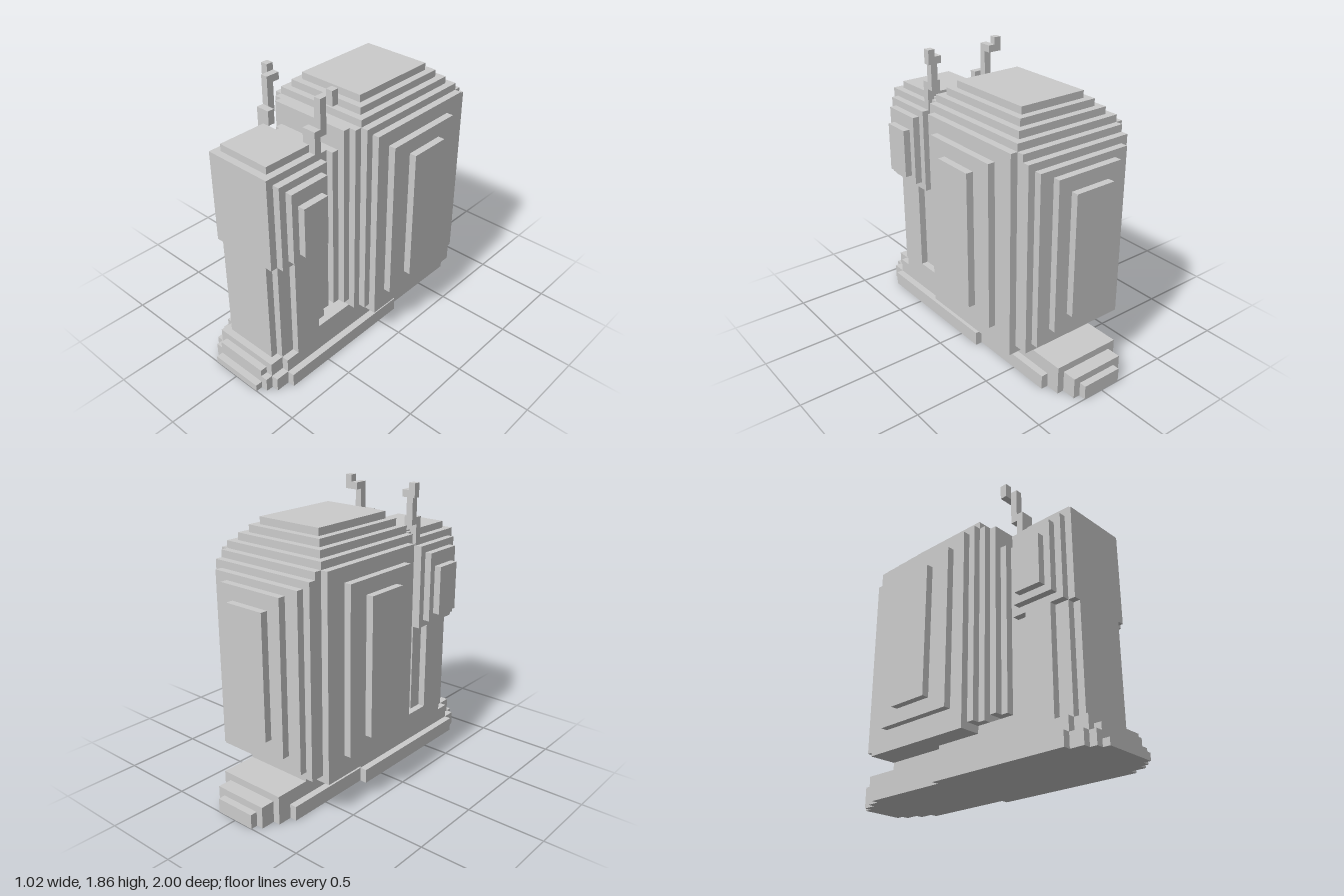
import * as THREE from 'three';

const U = 2 / 43; // edge length of one cube; depth is counted from the back, 0..43

// Collects cubes per part, so that faces between touching cubes can be left out
const cells = new Map();

function box(part, x0, x1, y0, y1, z0, z1) {
  for (let x = x0; x < x1; x++)
    for (let y = y0; y < y1; y++)
      for (let z = z0; z < z1; z++) {
        const key = `${x},${y},${z}`;
        if (!cells.has(key)) cells.set(key, { part, pos: [x, y, z] });
      }
}

// Box centred on x = 0, given its half width
const slab = (part, half, y0, y1, z0, z1) => box(part, -half, half, y0, y1, z0, z1);

// Stepped rounded block: layers [y0, y1, half, zBack, zFront] cut by plan steps [half, zBack, zFront]
function steppedBlock(part, layers, plan) {
  for (const [y0, y1, half, zb, zf] of layers)
    for (const [w, pb, pf] of plan)
      slab(part, Math.min(half, w), y0, y1, Math.max(zb, pb), Math.min(zf, pf));
}

// Exposed cube faces of one part
function partMesh(part, material) {
  const positions = [];
  for (const cell of cells.values()) {
    if (cell.part !== part) continue;
    for (let a = 0; a < 3; a++)
      for (const s of [1, -1]) {
        const next = [...cell.pos];
        next[a] += s;
        if (cells.has(next.join(','))) continue;
        const corner = (du, dv) => {
          const p = [...cell.pos];
          if (s > 0) p[a] += 1;
          p[(a + 1) % 3] += du;
          p[(a + 2) % 3] += dv;
          return [p[0] * U, p[1] * U, (p[2] - 21.5) * U];
        };
        const q = [corner(0, 0), corner(1, 0), corner(1, 1), corner(0, 1)];
        if (s < 0) q.reverse();
        for (const i of [0, 1, 2, 0, 2, 3]) positions.push(...q[i]);
      }
  }
  const geometry = new THREE.BufferGeometry();
  geometry.setAttribute('position', new THREE.Float32BufferAttribute(positions, 3));
  geometry.computeVertexNormals();
  const mesh = new THREE.Mesh(geometry, material);
  mesh.name = part;
  return mesh;
}

export function createModel() {
  cells.clear();

  // Shell: tall block with stepped edges and raised panels
  steppedBlock('shell', [
    [5, 6, 9, 8, 25], [6, 7, 9, 6, 27], [7, 8, 9, 5, 29], [8, 9, 10, 5, 29],
    [9, 10, 10, 4, 29], [10, 11, 11, 4, 29], [11, 28, 11, 3, 29], [28, 29, 11, 4, 29],
    [29, 30, 10, 4, 29], [30, 31, 10, 5, 29], [31, 32, 9, 6, 28], [32, 33, 9, 7, 28],
    [33, 34, 8, 8, 28], [34, 35, 7, 9, 26], [35, 36, 6, 10, 25], [36, 37, 5, 11, 24],
  ], [
    [11, 14, 20], [10, 11, 23], [9, 8, 25], [8, 6, 26],
    [7, 5, 27], [6, 5, 28], [5, 4, 29], [3, 3, 29],
  ]);

  // Head with cheek panels, widest in the middle
  steppedBlock('head', [
    [19, 20, 6, 31, 40], [20, 21, 7, 31, 40], [21, 28, 8, 31, 40], [28, 30, 7, 31, 40],
    [30, 31, 6, 31, 40], [31, 32, 5, 31, 40], [32, 33, 4, 32, 39],
  ], [[8, 33, 37], [7, 32, 38], [6, 31, 39], [5, 31, 40]]);
  slab('head', 3, 31, 32, 30, 31);

  // Neck: upright column, joined to the shell at the back
  for (const [half, zb, zf] of [[6, 33, 37], [5, 31, 39], [4, 29, 40]])
    slab('neck', half, 4, 19, zb, zf);
  slab('neck', 4, 19, 31, 29, 31);

  // Foot: sole, upper step, raised back, then tapered toe and tail
  slab('foot', 7, 0, 2, 18, 39);
  slab('foot', 6, 0, 2, 5, 41);
  slab('foot', 6, 2, 4, 18, 39);
  slab('foot', 5, 2, 4, 3, 41);
  slab('foot', 5, 4, 5, 8, 39);
  slab('foot', 6, 4, 6, 18, 33);
  slab('foot', 5, 0, 2, 3, 42);
  slab('foot', 4, 0, 3, 1, 42);
  slab('foot', 4, 0, 1, 42, 43);
  slab('foot', 3, 0, 2, 0, 1);

  // Feelers: base, post and outward tip, mirrored
  const feelerBoxes = [
    [3, 5, 33, 35, 31, 32], [4, 5, 31, 33, 31, 32], [4, 5, 34, 39, 30, 31],
    [4, 5, 38, 39, 29, 30], [5, 6, 38, 40, 29, 30],
  ];
  for (const [x0, x1, ...rest] of feelerBoxes) {
    box('leftFeeler', x0, x1, ...rest);
    box('rightFeeler', -x1, -x0, ...rest);
  }

  const material = new THREE.MeshStandardMaterial({ color: 0xcccccc, flatShading: true });
  const group = new THREE.Group();
  group.name = 'snail';
  for (const part of ['shell', 'head', 'neck', 'foot', 'leftFeeler', 'rightFeeler'])
    group.add(partMesh(part, material));
  return group;
}
